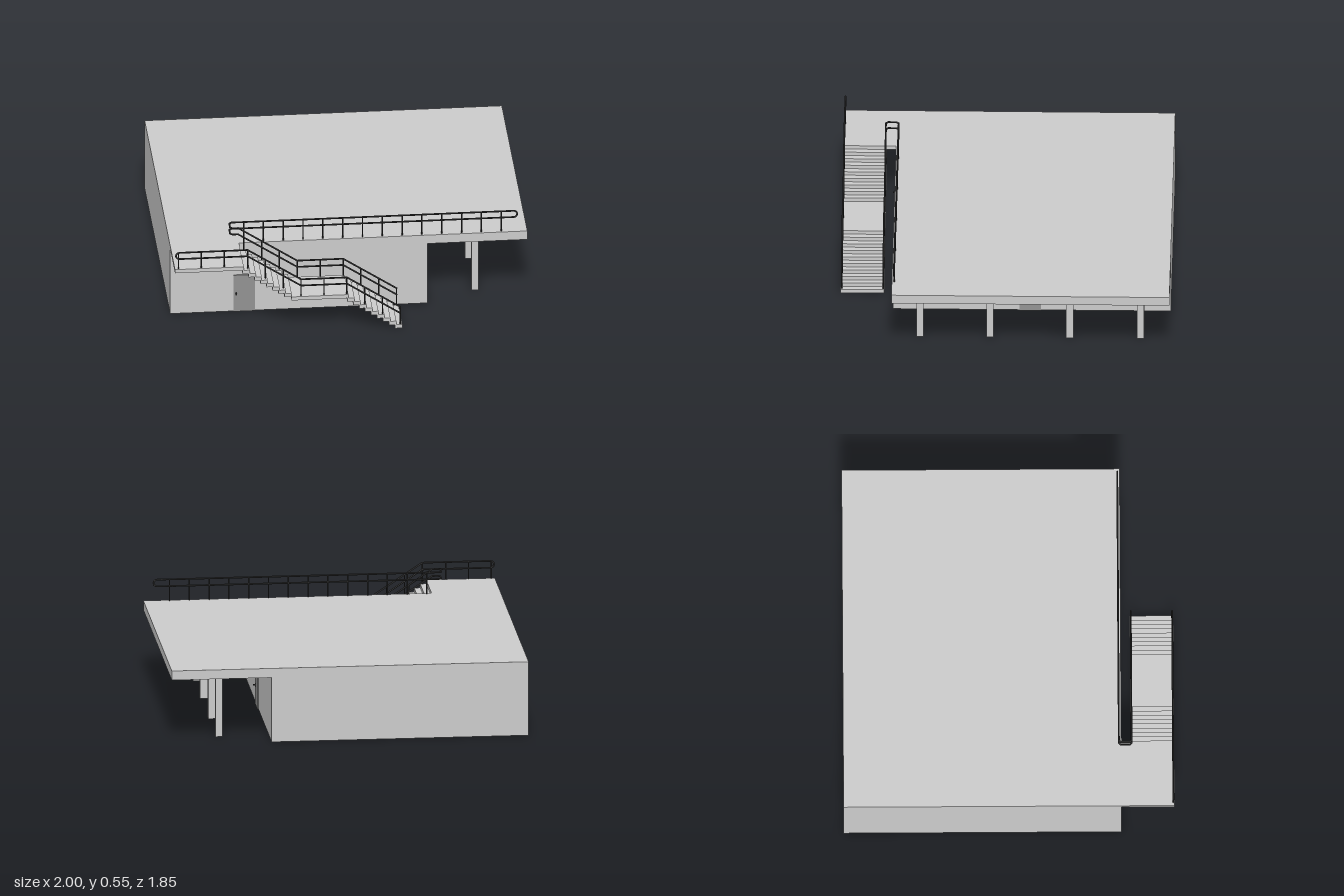
import * as THREE from 'three';

const grey = new THREE.MeshStandardMaterial({ color: 0xcccccc });
const wallGrey = new THREE.MeshStandardMaterial({ color: 0xcccccc, side: THREE.DoubleSide });
const doorGrey = new THREE.MeshStandardMaterial({ color: 0x929292 });
const dark = new THREE.MeshStandardMaterial({ color: 0x333333 });

const TOP = 0.424;            // roof level
const RISE = TOP / 19;        // height of one step
const RUN = 0.0335;           // depth of one step
const RAIL_R = 0.005;
const Z_IN = 0.683, Z_OUT = 0.914, Z_ROOF = 0.612;

// Box given by its minimum and maximum corners
function box(name, min, max, material = grey) {
  const s = max.map((v, i) => v - min[i]);
  const mesh = new THREE.Mesh(new THREE.BoxGeometry(...s), material);
  mesh.position.set(...min.map((v, i) => v + s[i] / 2));
  mesh.name = name;
  return mesh;
}

// Round bar between two points
function bar(name, a, b, radius = RAIL_R) {
  const from = new THREE.Vector3(...a), to = new THREE.Vector3(...b);
  const dir = to.clone().sub(from);
  const mesh = new THREE.Mesh(new THREE.CylinderGeometry(radius, radius, dir.length(), 8), dark);
  mesh.position.copy(from).add(to).multiplyScalar(0.5);
  mesh.quaternion.setFromUnitVectors(new THREE.Vector3(0, 1, 0), dir.normalize());
  mesh.name = name;
  return mesh;
}

// Bent pipe: bars joined by small balls
function pipe(name, points) {
  const group = new THREE.Group();
  group.name = name;
  points.forEach((p, i) => {
    const joint = new THREE.Mesh(new THREE.SphereGeometry(RAIL_R, 8, 6), dark);
    joint.position.set(...p);
    joint.name = 'railJoint';
    group.add(joint);
    if (i) group.add(bar('railBar', points[i - 1], p));
  });
  return group;
}

// Half circle that joins the top rail to the lower rail; side is +1 or -1 in x
function roundEnd(x, yTop, yLow, z, side) {
  const r = (yTop - yLow) / 2, pts = [];
  for (let i = 0; i <= 6; i++) {
    const a = Math.PI / 2 - (i / 6) * Math.PI;
    pts.push([x + side * r * Math.cos(a), yLow + r + r * Math.sin(a), z]);
  }
  return pipe('railEnd', pts);
}

// Door panel with a handle, facing +z
function door(name) {
  const group = new THREE.Group();
  group.name = name;
  group.add(
    box('doorPanel', [-0.06, 0, 0], [0.06, 0.226, 0.006], doorGrey),
    box('doorPlate', [-0.051, 0.1, 0.006], [-0.043, 0.122, 0.009], dark),
    bar('doorKnob', [-0.047, 0.113, 0.008], [-0.047, 0.113, 0.018], 0.004));
  return group;
}

// Walls only: a box without its top and bottom faces
function walls() {
  const mesh = box('walls', [-1, 0, -0.925], [0.44, 0.371, 0.625], wallGrey);
  const index = Array.from(mesh.geometry.index.array);
  mesh.geometry.setIndex([...index.slice(0, 12), ...index.slice(24, 36)]);
  mesh.geometry.clearGroups();
  return mesh;
}

// Two flights with a landing and an upper platform
function stairs() {
  const group = new THREE.Group();
  group.name = 'stairs';
  const z0 = 0.677, z1 = 0.92;
  const flight = (xStart, first, count) => {
    for (let i = 0; i < count; i++) {
      const x = xStart - i * RUN, y = (first + i) * RISE;
      group.add(box('step', [x - RUN - 0.007, y, z0], [x, y + RISE, z1]));
    }
  };
  flight(0.273, 0, 9);
  group.add(box('landing', [-0.347, 9 * RISE, z0], [-0.029, 10 * RISE, z1]));
  flight(-0.347, 10, 8);
  group.add(box('upperPlatform', [-1, TOP - RISE, 0.625], [-0.615, TOP, z1]));
  return group;
}

// Stair rail line, from the bottom up
const slope = [[0.262, 0.13], [-0.037, 0.328], [-0.294, 0.328], [-0.593, 0.525]];
const DROP = 0.039;           // from top rail to lower rail

function stairPosts(group, z) {
  slope.forEach(([x1, y1], i) => {
    if (!i) return;
    const [x0, y0] = slope[i - 1];
    const n = i === 2 ? 2 : 3;
    for (let k = i === 1 ? 0 : 1; k <= n; k++) {
      const x = x0 + (x1 - x0) * k / n, y = y0 + (y1 - y0) * k / n;
      group.add(bar('railPost', [x, y - 0.115, z], [x, y, z], 0.004));
    }
  });
}

function outerRailing() {
  const group = new THREE.Group();
  group.name = 'outerRailing';
  for (const d of [0, DROP]) {
    const pts = slope.map(([x, y]) => [x, y - d, Z_OUT]);
    pts.push([-0.975, 0.525 - d, Z_OUT]);
    group.add(pipe('rail', pts));
  }
  group.add(roundEnd(-0.975, 0.525, 0.525 - DROP, Z_OUT, -1));
  stairPosts(group, Z_OUT);
  for (const x of [-0.98, -0.852, -0.725])
    group.add(bar('railPost', [x, TOP, Z_OUT], [x, 0.525, Z_OUT], 0.004));
  return group;
}

// Inner stair rail that turns back along the roof edge
function innerRailing() {
  const group = new THREE.Group();
  group.name = 'innerRailing';
  const y = 0.547;
  for (const d of [0, DROP]) {
    const pts = slope.slice(0, 3).map(([px, py]) => [px, py - d, Z_IN]);
    const turn = [[-0.625, Z_IN], [-0.657, Z_IN], [-0.669, Z_IN - 0.012],
      [-0.669, Z_ROOF + 0.012], [-0.657, Z_ROOF], [0.925, Z_ROOF]];
    turn.forEach(([px, pz]) => pts.push([px, y - d, pz]));
    group.add(pipe('rail', pts));
  }
  group.add(roundEnd(0.925, y, y - DROP, Z_ROOF, 1));
  stairPosts(group, Z_IN);
  for (let i = 0; i < 14; i++) {
    const x = 0.855 - i * 0.111;
    group.add(bar('railPost', [x, TOP, Z_ROOF], [x, y, Z_ROOF], 0.004));
  }
  return group;
}

export function createModel() {
  const model = new THREE.Group();
  model.name = 'building';
  model.add(walls(), box('roof', [-1, 0.371, -0.925], [1, TOP, 0.625]));

  // Pillars under the overhang
  for (const z of [0.47, 0.08, -0.365, -0.76])
    model.add(box('pillar', [0.7, 0, z - 0.02], [0.74, 0.371, z + 0.02]));

  const frontDoor = door('frontDoor');
  frontDoor.position.set(-0.585, 0, 0.625);
  const sideDoor = door('sideDoor');
  sideDoor.rotation.y = Math.PI / 2;
  sideDoor.position.set(0.44, 0, -0.14);

  model.add(frontDoor, sideDoor, stairs(), outerRailing(), innerRailing());
  return model;
}
